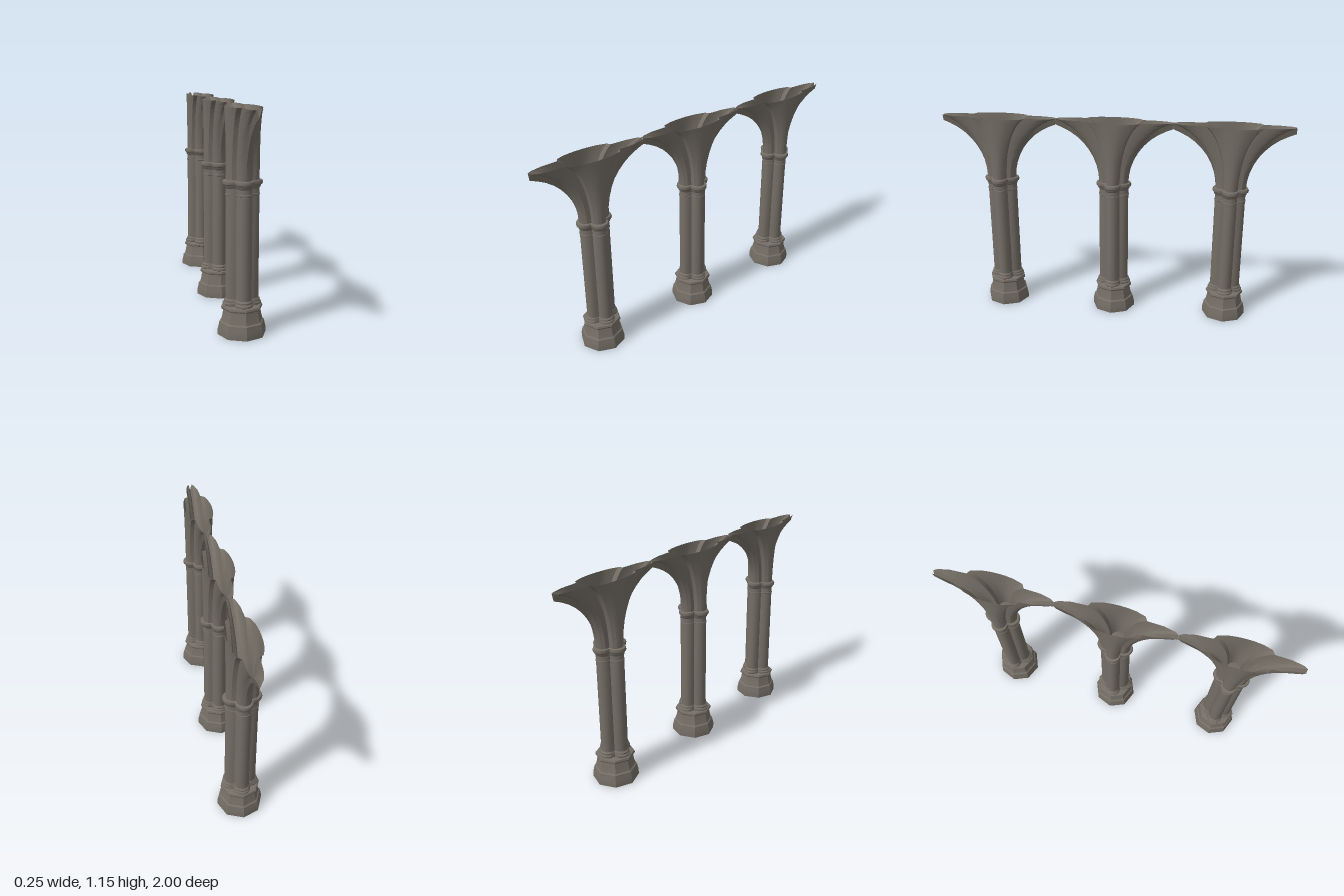
import * as THREE from 'three';
import { toCreasedNormals } from 'three/addons/utils/BufferGeometryUtils.js';

const stone = new THREE.MeshStandardMaterial({ color: 0x746e65, side: THREE.DoubleSide });
stone.name = 'stone';

// Skin a list of closed rings of [x, y, z], listed from bottom to top
function loft(rings, crease) {
  const n = rings[0].length, index = [];
  for (let r = 0; r < rings.length - 1; r++) {
    for (let k = 0; k < n; k++) {
      const a = r * n + k, d = r * n + (k + 1) % n, b = a + n, c = d + n;
      index.push(a, b, d, b, c, d);
    }
  }
  const geo = new THREE.BufferGeometry();
  geo.setAttribute('position', new THREE.Float32BufferAttribute(rings.flat(2), 3));
  geo.setIndex(index);
  return toCreasedNormals(geo, crease);
}

// Outlines of half-width 1: an octagon and a cluster of four round lobes
const octagon = [];
for (let k = 0; k < 8; k++) octagon.push([Math.cos(k * Math.PI / 4), Math.sin(k * Math.PI / 4)]);

const HALF = 0.085;
const quatrefoil = [];
for (let lobe = 0; lobe < 4; lobe++) {
  const turn = lobe * Math.PI / 2, co = Math.cos(turn), si = Math.sin(turn);
  for (const deg of [-97.7, -65, -35, -15, 0, 15, 35, 65]) {
    const a = THREE.MathUtils.degToRad(deg);
    const x = (0.045 + 0.04 * Math.cos(a)) / HALF, z = 0.04 * Math.sin(a) / HALF;
    quatrefoil.push([x * co - z * si, x * si + z * co]);
  }
}

// Sweep an outline up a profile of [halfWidth, y]
const moulding = (outline, profile, crease) =>
  loft(profile.map(([r, y]) => outline.map(([x, z]) => [x * r, y, z * r])), crease);

// Spreading vault: x stays put while z stretches along a circular arc
function vaultGeometry() {
  const bottom = 0.79, top = 1.155, notch = 1.12, reach = 0.333, steps = 9;
  const rise = notch - bottom, run = reach + 0.008 - HALF;
  const radius = (run * run + rise * rise) / (2 * run);
  const sweep = Math.asin(rise / radius);
  const rings = [];
  for (let i = 0; i <= steps; i++) {
    const a = sweep * i / steps;
    const stretch = 1 + radius * (1 - Math.cos(a)) / HALF;
    const u = radius * Math.sin(a) / rise;
    rings.push(quatrefoil.map(([ox, oz]) => {
      const x = ox * HALF, z = oz * HALF * stretch;
      const isTip = Math.abs(x) < 0.003;
      const y = bottom + u * ((isTip ? notch : top) - bottom);
      return [x, y, THREE.MathUtils.clamp(z, -reach, reach)];
    }));
  }
  return loft(rings, 0.45);
}

export function createModel() {
  const parts = {
    // Eight-sided plinth, open underneath
    base: moulding(octagon, [
      [0.125, 0], [0.125, 0.03], [0.119, 0.055], [0.117, 0.068], [0.109, 0.074],
      [0.102, 0.1], [0.096, 0.133], [0.105, 0.136], [0.108, 0.144], [0.105, 0.154],
      [0.094, 0.158], [0.04, 0.158],
    ], 0.4),
    shaftFoot: moulding(quatrefoil, [
      [0.092, 0.156], [0.099, 0.161], [0.099, 0.169], [0.092, 0.176],
      [0.093, 0.184], [0.085, 0.192],
    ], 0.65),
    shaft: moulding(quatrefoil, [[HALF, 0.18], [HALF, 0.77]], 0.65),
    neckRing: moulding(quatrefoil, [
      [0.084, 0.72], [0.088, 0.722], [0.088, 0.728], [0.084, 0.73],
    ], 0.65),
    // Capital, closed on top by its last ring
    capital: moulding(quatrefoil, [
      [0.085, 0.755], [0.09, 0.76], [0.093, 0.771], [0.1, 0.776], [0.102, 0.785],
      [0.099, 0.795], [0.093, 0.797], [0, 0.797],
    ], 0.65),
    vault: vaultGeometry(),
  };

  const model = new THREE.Group();
  model.name = 'arcade';
  for (const z of [-0.667, 0, 0.667]) {
    const column = new THREE.Group();
    column.name = 'column';
    column.position.z = z;
    for (const [name, geometry] of Object.entries(parts)) {
      const mesh = new THREE.Mesh(geometry, stone);
      mesh.name = name;
      column.add(mesh);
    }
    model.add(column);
  }
  return model;
}
